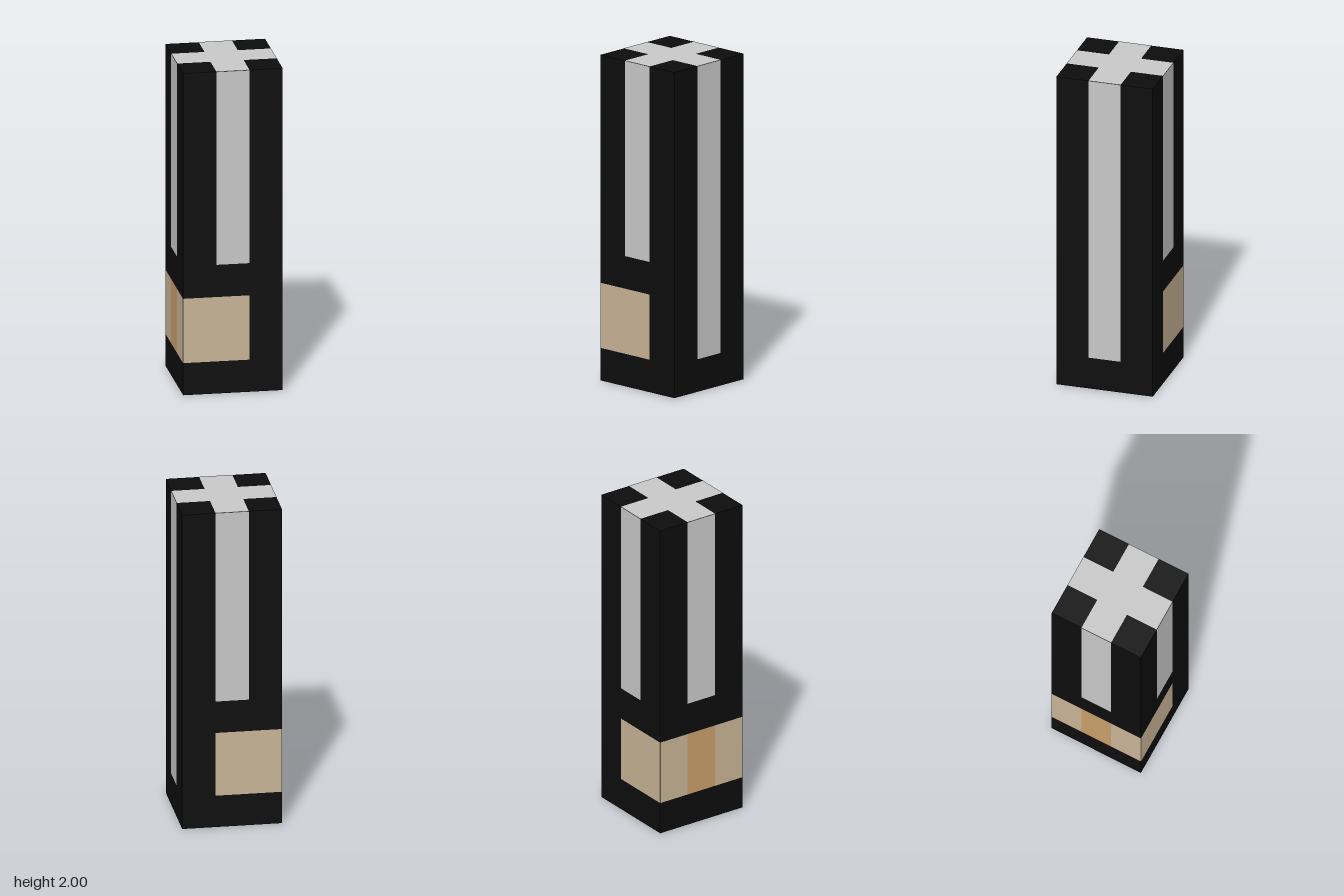
import * as THREE from 'three';

const material = (name, color) => new THREE.MeshStandardMaterial({ name, color });

export function createModel() {
  const black = material('black', 0x0d0d0d);
  const grey = material('lightGrey', 0xc8c8c8);
  const tan = material('tan', 0xc8b496);
  const brown = material('brown', 0xc89e6a);

  const model = new THREE.Group();
  model.name = 'squareHandle';
  const half = 0.3, lift = 0.001;

  const body = new THREE.Mesh(new THREE.BoxGeometry(0.6, 2, 0.6), black);
  body.name = 'body';
  body.position.y = 1;
  model.add(body);

  // Painted rectangle on a group whose local +z is the outward direction
  function panel(side, name, mat, u0, u1, v0, v1, out) {
    const mesh = new THREE.Mesh(new THREE.PlaneGeometry(u1 - u0, v1 - v0), mat);
    mesh.name = name;
    mesh.position.set((u0 + u1) / 2, (v0 + v1) / 2, out + lift);
    side.add(mesh);
  }
  function face(name, rx, ry) {
    const side = new THREE.Group();
    side.name = name;
    side.rotation.set(rx, ry, 0);
    model.add(side);
    return side;
  }

  // Four sides: a vertical stripe on each, with a band wrapping three of them
  const front = face('frontSide', 0, 0);
  const left = face('leftSide', 0, Math.PI / 2);
  const back = face('backSide', 0, Math.PI);
  const right = face('rightSide', 0, -Math.PI / 2);
  for (const side of [front, left, back, right]) {
    panel(side, 'stripe', grey, -0.1, 0.1, side === left ? 0.2 : 0.8, 2, half);
  }
  panel(front, 'band', tan, -half, 0.1, 0.2, 0.6, half);
  panel(back, 'band', tan, -0.1, half, 0.2, 0.6, half);
  panel(right, 'bandFrontPart', tan, 0.1, half, 0.2, 0.6, half);
  panel(right, 'bandBackPart', tan, -half, -0.1, 0.2, 0.6, half);
  panel(right, 'bandCentre', brown, -0.1, 0.1, 0.2, 0.6, half);

  // Cross on the top
  const top = face('topSide', -Math.PI / 2, 0);
  panel(top, 'crossBar', grey, -half, half, -0.1, 0.1, 2);
  panel(top, 'crossArmBack', grey, -0.1, 0.1, 0.1, half, 2);
  panel(top, 'crossArmFront', grey, -0.1, 0.1, -half, -0.1, 2);

  // Square on the underside
  const bottom = face('bottomSide', Math.PI / 2, 0);
  panel(bottom, 'bottomSquare', grey, -0.1, 0.1, -0.1, 0.1, 0);

  return model;
}
